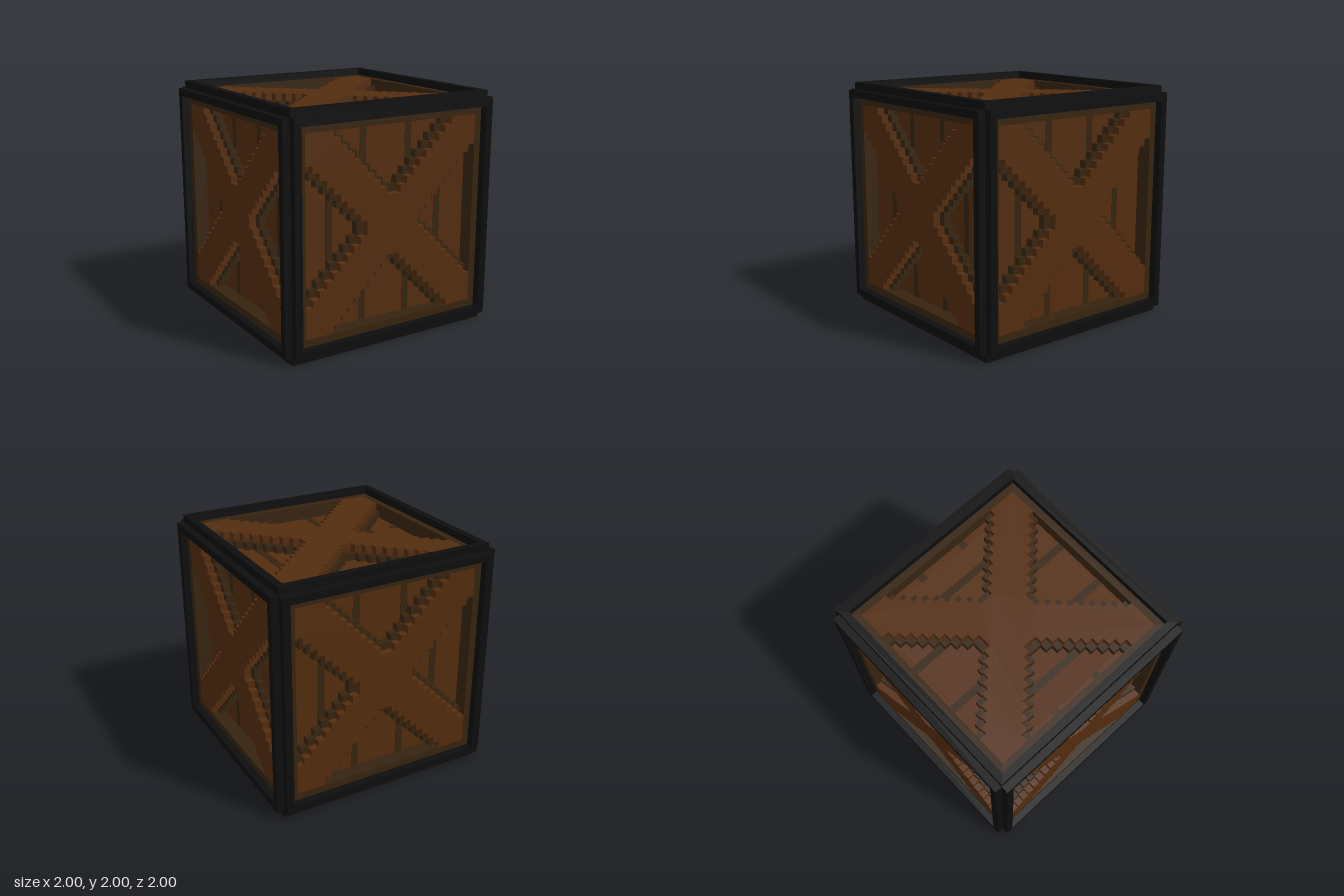
import * as THREE from 'three';

const U = 1 / 16;            // one cube step
const P = 13 * U;            // half width of the recessed panel

const brown = new THREE.MeshStandardMaterial({ color: 0x532c0e });
brown.name = 'brown wood';
const dark = new THREE.MeshStandardMaterial({ color: 0x36230f });
dark.name = 'dark wood';
const black = new THREE.MeshStandardMaterial({ color: 0x0d0d0d });
black.name = 'black frame';

function add(group, name, geometry, material, x = 0, y = 0, z = 0) {
  const mesh = new THREE.Mesh(geometry, material);
  mesh.name = name;
  mesh.position.set(x, y, z);
  group.add(mesh);
}

function extrude(shape, depth) {
  return new THREE.ExtrudeGeometry(shape, { depth, bevelEnabled: false });
}

function square(path, h) {
  path.moveTo(-h, -h);
  path.lineTo(h, -h);
  path.lineTo(h, h);
  path.lineTo(-h, h);
  path.closePath();
  return path;
}

function ring(outer, inner, depth) {
  const shape = square(new THREE.Shape(), outer);
  shape.holes.push(square(new THREE.Path(), inner));
  return extrude(shape, depth);
}

// Diagonal cross with stepped edges; start = 1 makes it one step wider
function steppedCross(start) {
  const half = [];
  for (let k = start; k < 9; k++) {
    const w = U * (k + 1 - start);
    half.push([w, U * (4 + k)], [w, U * (5 + k)]);
  }
  const notch = [...half.map(([x, y]) => [-x, y]).reverse(), ...half, [P, P]];
  const points = [];
  for (let q = 0; q < 4; q++) {
    for (const p of notch) {
      let [x, y] = p;
      for (let i = 0; i < q; i++) [x, y] = [y, -x];
      points.push(new THREE.Vector2(x, y));
    }
  }
  return extrude(new THREE.Shape(points), U);
}

const geo = {
  frame: ring(15 * U, 14 * U, 2 * U),
  band: ring(14 * U, P, 2 * U),
  panel: new THREE.BoxGeometry(2 * P, 2 * P, U),
  crossEdge: steppedCross(1),
  cross: steppedCross(0),
  gapShort: new THREE.BoxGeometry(U, 5 * U, 0.006),
  gapLong: new THREE.BoxGeometry(U, 8 * U, 0.006),
  notch: new THREE.BoxGeometry(U, U, 0.006),
};

// One side of the crate, facing +z, in coordinates from the crate's centre
function makeSide(name) {
  const side = new THREE.Group();
  side.name = name;
  add(side, 'frame', geo.frame, black, 0, 0, 14 * U);
  add(side, 'innerBand', geo.band, dark, 0, 0, P);
  add(side, 'panel', geo.panel, brown, 0, 0, P - U / 2);
  add(side, 'crossEdge', geo.crossEdge, dark, 0, 0, P);
  add(side, 'cross', geo.cross, brown, 0, 0, 14 * U);
  // Dark gaps between the planks
  for (const s of [-1, 1]) {
    for (const t of [-1, 1]) add(side, 'plankGap', geo.gapShort, dark, s * 3.5 * U, t * 10.5 * U, P);
    add(side, 'plankGap', geo.gapLong, dark, s * 8.5 * U, 0, P);
  }
  return side;
}

export function createModel() {
  const crate = new THREE.Group();
  crate.name = 'crate';
  const q = Math.PI / 2;
  const sides = [
    ['front', 0, 0], ['left', 0, q], ['back', 0, 2 * q],
    ['right', 0, -q], ['top', -q, 0], ['bottom', q, 0],
  ];
  for (const [name, rx, ry] of sides) {
    const side = makeSide(name + 'Side');
    side.rotation.set(rx, ry, 0);
    side.position.y = 1;
    // Short gap ends on the lid
    if (name === 'top') {
      for (const s of [-1, 1]) {
        for (const t of [-1, 1]) add(side, 'lidGap', geo.notch, dark, s * 12.5 * U, t * 3.5 * U, P);
      }
    }
    crate.add(side);
  }
  return crate;
}
